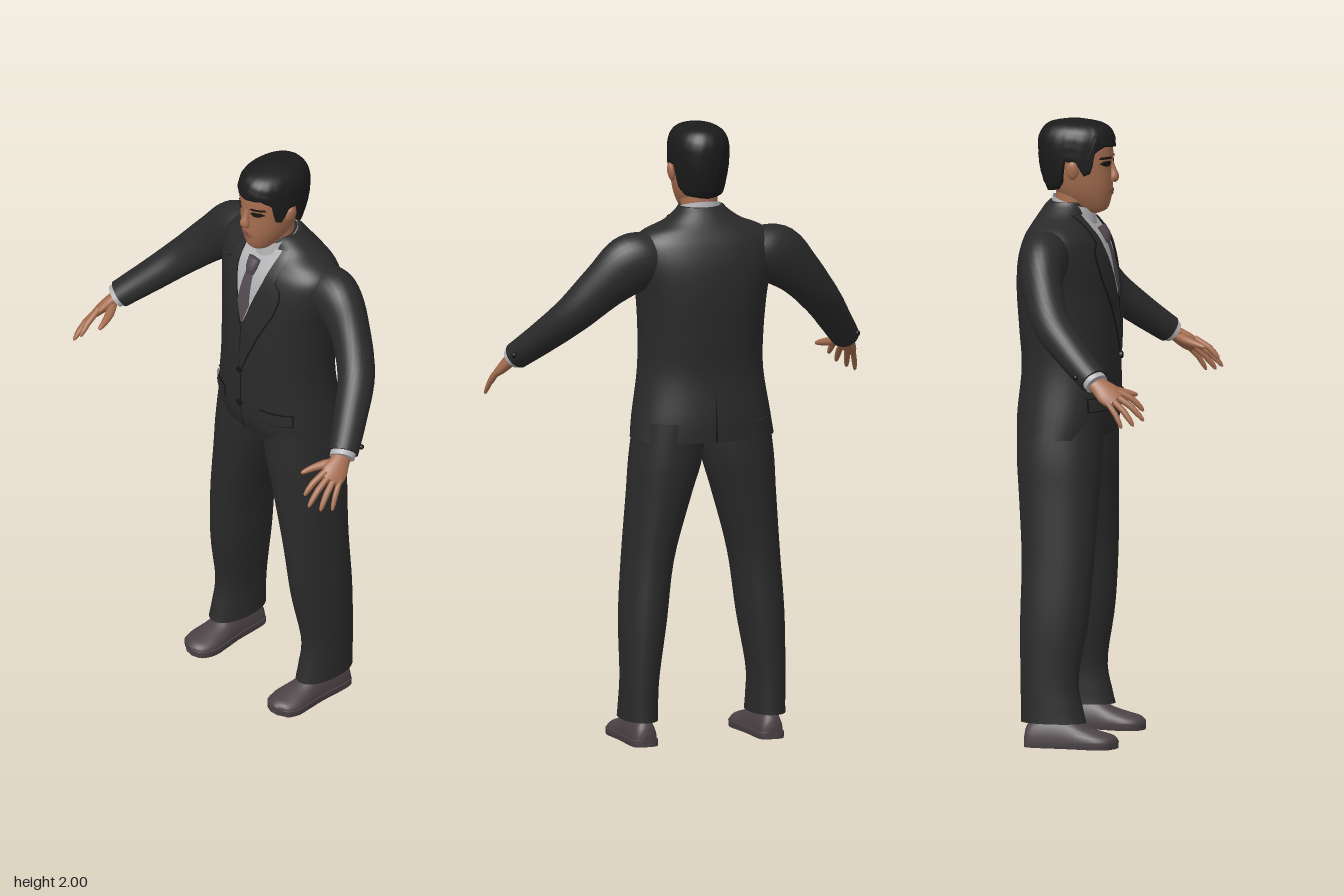
import * as THREE from 'three';

const mat = (name, color) => {
  const m = new THREE.MeshStandardMaterial({ color, side: THREE.DoubleSide });
  m.name = name;
  return m;
};
const V = (x, y, z) => new THREE.Vector3(x, y, z);

// Catmull-Rom resampling of rows of numbers
function resample(rows, n) {
  const out = [], last = rows.length - 1;
  for (let k = 0; k <= n; k++) {
    const f = (k / n) * last, i = Math.min(Math.floor(f), last - 1), t = f - i;
    const [a, b, c, d] = [rows[Math.max(i - 1, 0)], rows[i], rows[i + 1], rows[Math.min(i + 2, last)]];
    out.push(b.map((_, q) => 0.5 * (2 * b[q] + (c[q] - a[q]) * t + (2 * a[q] - 5 * b[q] + 4 * c[q] - d[q]) * t * t
      + (3 * b[q] - a[q] - 3 * c[q] + d[q]) * t ** 3)));
  }
  return out;
}

// Linear lookup in rows sorted by their first number
function lookup(rows, y) {
  let i = 0;
  while (i < rows.length - 2 && rows[i + 1][0] < y) i++;
  const t = THREE.MathUtils.clamp((y - rows[i][0]) / (rows[i + 1][0] - rows[i][0]), 0, 1);
  return rows[i].map((v, q) => v + (rows[i + 1][q] - v) * t);
}

// Skin over a list of closed rings, with separate end caps
function skinRings(rings, caps = true) {
  const pos = [], idx = [], n = rings[0].length;
  rings.forEach(r => r.forEach(p => pos.push(p.x, p.y, p.z)));
  for (let i = 0; i < rings.length - 1; i++) for (let j = 0; j < n; j++) {
    const a = i * n + j, c = i * n + (j + 1) % n;
    idx.push(a, a + n, c, c, a + n, c + n);
  }
  if (caps) [rings[0], rings[rings.length - 1]].forEach((r, end) => {
    const base = pos.length / 3, mid = V(0, 0, 0);
    r.forEach(p => { pos.push(p.x, p.y, p.z); mid.addScaledVector(p, 1 / n); });
    pos.push(mid.x, mid.y, mid.z);
    for (let j = 0; j < n; j++) {
      const a = base + j, b = base + (j + 1) % n;
      idx.push(base + n, end ? b : a, end ? a : b);
    }
  });
  const g = new THREE.BufferGeometry();
  g.setAttribute('position', new THREE.Float32BufferAttribute(pos, 3));
  g.setIndex(idx);
  g.computeVertexNormals();
  return g;
}

const spow = (v, e) => Math.sign(v) * Math.abs(v) ** e;
// Horizontal rings; rows are [y, cx, cz, rx, rz]
const column = (rows, seg = 40, p = 2.2, caps = true) => skinRings(rows.map(([y, cx, cz, rx, rz]) =>
  Array.from({ length: seg }, (_, j) => {
    const t = (j / seg) * Math.PI * 2;
    return V(cx + rx * spow(Math.cos(t), 2 / p), y, cz + rz * spow(Math.sin(t), 2 / p));
  })), caps);

// Rings along a path; rows are [x, y, z, sideRadius, upRadius]
function sweep(rows, { seg = 20, side = null } = {}) {
  const pts = rows.map(r => V(r[0], r[1], r[2]));
  return skinRings(rows.map((r, i) => {
    const T = pts[Math.min(i + 1, pts.length - 1)].clone().sub(pts[Math.max(i - 1, 0)]).normalize();
    const U = side ? side.clone().addScaledVector(T, -side.dot(T)) : T.clone().cross(V(0, 1, 0));
    U.normalize();
    const W = U.clone().cross(T);
    return Array.from({ length: seg }, (_, j) => {
      const t = (j / seg) * Math.PI * 2;
      return pts[i].clone().addScaledVector(U, r[3] * Math.cos(t)).addScaledVector(W, r[4] * Math.sin(t));
    });
  }));
}

// Thin plate laid on a column's front (dir 1) or back (dir -1); edges are [y, x1, x2]
function drape(body, edges, lift, dir = 1, ny = 18, nx = 8) {
  const pos = [], idx = [];
  for (let i = 0; i <= ny; i++) {
    const y = edges[0][0] + (edges[edges.length - 1][0] - edges[0][0]) * i / ny, [, x1, x2] = lookup(edges, y);
    const [, cx, cz, rx, rz] = lookup(body, y);
    for (let j = 0; j <= nx; j++) {
      const x = x1 + (x2 - x1) * j / nx, u = Math.min(Math.abs((x - cx) / rx), 1);
      pos.push(x, y, cz + dir * (rz * (1 - u ** 2.2) ** (1 / 2.2) + lift));
      if (i < ny && j < nx) {
        const a = i * (nx + 1) + j, b = a + nx + 1;
        idx.push(...(dir > 0 ? [a, a + 1, b, a + 1, b + 1, b] : [a, b, a + 1, a + 1, b, b + 1]));
      }
    }
  }
  const g = new THREE.BufferGeometry();
  g.setAttribute('position', new THREE.Float32BufferAttribute(pos, 3));
  g.setIndex(idx);
  g.computeVertexNormals();
  return g;
}

// Copy a geometry to the other side of the body
function mirror(geo) {
  const g = geo.clone().scale(-1, 1, 1), ix = g.index.array;
  for (let i = 0; i < ix.length; i += 3) [ix[i], ix[i + 1]] = [ix[i + 1], ix[i]];
  g.computeVertexNormals();
  return g;
}

export function createModel() {
  const root = new THREE.Group();
  root.name = 'manInSuit';
  const suit = mat('suitCloth', 0x2a2a2a), seam = mat('seamBlack', 0x151515), hairM = mat('hair', 0x1b1b1c);
  const skin = mat('skin', 0xa56d4f), lipM = mat('lips', 0x8a5444), eyeM = mat('eyes', 0x1c1411);
  const shirt = mat('shirt', 0xb2b2b5), tieM = mat('tie', 0x544b50), shoeM = mat('shoeLeather', 0x4b4245);
  const add = (name, geo, m) => {
    const mesh = new THREE.Mesh(geo, m);
    mesh.name = name;
    root.add(mesh);
  };
  const pair = (name, geo, m) => { add(name + 'Left', geo, m); add(name + 'Right', mirror(geo), m); };

  // Jacket body
  const torso = resample([
    [0.99, 0, -0.115, 0.235, 0.15], [1.06, 0, -0.105, 0.225, 0.16], [1.2, 0, -0.097, 0.204, 0.155],
    [1.32, 0, -0.102, 0.203, 0.158], [1.45, 0, -0.11, 0.213, 0.158], [1.55, 0, -0.115, 0.232, 0.147],
    [1.62, 0, -0.117, 0.232, 0.125], [1.66, 0, -0.12, 0.2, 0.1], [1.69, 0, -0.12, 0.13, 0.082],
    [1.72, 0, -0.112, 0.087, 0.07], [1.735, 0, -0.107, 0.073, 0.062]], 50);
  add('jacketBody', column(torso, 48), suit);

  // Shirt front, tie and lapels
  add('shirtFront', drape(torso, [[1.43, 0, 0.004], [1.5, -0.03, 0.03], [1.6, -0.062, 0.062], [1.7, -0.075, 0.075]], 0.004), shirt);
  add('tieBlade', drape(torso, [[1.43, -0.004, 0.006], [1.5, -0.028, 0.028], [1.61, -0.017, 0.017]], 0.009), tieM);
  add('tieKnot', sweep(resample([[0, 1.6, 0.018, 0.014, 0.01], [0, 1.625, 0.014, 0.021, 0.016],
    [0, 1.655, 0, 0.024, 0.014]], 6), { side: V(1, 0, 0) }), tieM);
  const lapel = w => [[1.25, 0, 0.008 + w], [1.4, 0.003, 0.07 + w], [1.5, 0.03, 0.118 + w], [1.56, 0.05, 0.133 + w],
    [1.6, 0.062, 0.125 + w], [1.61, 0.064, 0.105 + w], [1.7, 0.076, 0.1 + w]];
  pair('lapelEdge', drape(torso, lapel(0.004), 0.004, 1, 30), seam);
  pair('lapel', drape(torso, lapel(0), 0.008, 1, 30), suit);
  add('frontOpening', drape(torso, [[0.99, -0.002, 0.002], [1.25, -0.002, 0.002]], 0.003), seam);
  add('backVent', drape(torso, [[0.99, -0.003, 0.003], [1.13, -0.0015, 0.0015]], 0.003, -1), seam);
  pair('pocketSeam', drape(torso, [[1.075, 0.085, 0.185], [1.122, 0.082, 0.185]], 0.003, 1, 4), seam);
  pair('pocketFlap', drape(torso, [[1.08, 0.088, 0.183], [1.118, 0.085, 0.183]], 0.007, 1, 4), suit);
  for (const y of [1.11, 1.24]) {
    const [, , cz, , rz] = lookup(torso, y);
    add('jacketButton', new THREE.CylinderGeometry(0.011, 0.011, 0.008, 16).rotateX(Math.PI / 2).translate(0, y, cz + rz + 0.008), seam);
  }

  // Shirt collar, lower at the front
  const collar = column([[1.67, 0, -0.09, 0.079, 0.075], [1.7, 0, -0.09, 0.074, 0.072], [1.733, 0, -0.09, 0.068, 0.067]], 36, 2, false);
  const cp = collar.attributes.position;
  for (let i = 0; i < cp.count; i++) cp.setY(i, cp.getY(i) - 0.3 * (cp.getZ(i) + 0.09));
  collar.computeVertexNormals();
  add('shirtCollar', collar, shirt);

  // Sleeves, cuffs
  pair('sleeve', sweep(resample([
    [0.13, 1.585, -0.135, 0.06, 0.07], [0.19, 1.578, -0.135, 0.078, 0.085], [0.25, 1.56, -0.135, 0.076, 0.096],
    [0.33, 1.493, -0.118, 0.064, 0.077], [0.42, 1.395, -0.068, 0.06, 0.062], [0.49, 1.312, 0.015, 0.054, 0.052],
    [0.552, 1.24, 0.098, 0.048, 0.044]], 30), { seg: 28 }), suit);
  pair('shirtCuff', sweep([[0.547, 1.246, 0.092, 0.042, 0.037], [0.56, 1.231, 0.11, 0.041, 0.036]]), shirt);
  pair('sleeveButton', new THREE.SphereGeometry(0.009, 10, 8).translate(0.578, 1.252, 0.045), seam);

  // Hands: palm, four fingers and thumb
  const spread = V(0.65, -0.5, -0.57).normalize(), knuckle = V(0.58, 1.185, 0.176);
  pair('palm', sweep(resample([[0.552, 1.238, 0.095, 0.029, 0.022], [0.563, 1.222, 0.122, 0.033, 0.02],
    [0.573, 1.202, 0.15, 0.041, 0.018], [0.581, 1.183, 0.178, 0.038, 0.013]], 10), { side: spread }), skin);
  const tips = [[0.553, 1.148, 0.262], [0.58, 1.12, 0.268], [0.606, 1.106, 0.24], [0.623, 1.1, 0.205]];
  tips.forEach((t, k) => {
    const a = knuckle.clone().addScaledVector(spread, (k - 1.5) * 0.021), b = V(...t);
    const p = f => a.clone().lerp(b, f).add(V(0, 0.01 * Math.sin(Math.max(f, 0) * Math.PI), 0)).toArray();
    const r = k === 3 ? 0.009 : 0.0105;
    pair('finger', sweep([[...p(-0.2), r, r], [...p(0.2), r, r], [...p(0.5), r, r], [...p(0.8), r * 0.85, r * 0.85],
      [...p(0.95), r * 0.6, r * 0.6], [...p(1), r * 0.2, r * 0.2]], { seg: 12 }), skin);
  });
  pair('thumb', sweep(resample([[0.555, 1.22, 0.12, 0.013, 0.013], [0.528, 1.209, 0.158, 0.015, 0.014],
    [0.51, 1.2, 0.195, 0.011, 0.011], [0.501, 1.193, 0.224, 0.007, 0.007], [0.5, 1.191, 0.23, 0.002, 0.002]], 12), { seg: 12 }), skin);

  // Trousers
  pair('trouserLeg', column(resample([
    [0.08, 0.214, -0.108, 0.058, 0.106], [0.12, 0.214, -0.113, 0.057, 0.101], [0.22, 0.212, -0.122, 0.058, 0.094],
    [0.4, 0.198, -0.11, 0.072, 0.11], [0.6, 0.178, -0.102, 0.079, 0.117], [0.8, 0.143, -0.106, 0.099, 0.129],
    [0.92, 0.121, -0.109, 0.113, 0.137], [1.05, 0.105, -0.11, 0.112, 0.138]], 30), 32), suit);

  // Shoes: the same lengthwise rings, flattened for the upper and the sole
  const shoe = (grow, lo, hi) => {
    const g = sweep(resample([
      [0.212, 0.02, -0.203, 0.012, 0.02], [0.212, 0.02, -0.19, 0.036, 0.055], [0.212, 0.02, -0.14, 0.043, 0.08],
      [0.21, 0.02, -0.07, 0.046, 0.078], [0.208, 0.02, -0.01, 0.054, 0.05], [0.207, 0.02, 0.04, 0.059, 0.034],
      [0.208, 0.02, 0.08, 0.045, 0.023], [0.21, 0.02, 0.098, 0.012, 0.01]
    ].map(([x, y, z, a, b]) => [x, y, z, a + grow, b]), 28), { seg: 28 });
    const p = g.attributes.position;
    for (let i = 0; i < p.count; i++) p.setY(i, THREE.MathUtils.clamp(p.getY(i), lo, hi));
    g.computeVertexNormals();
    return g;
  };
  pair('shoeUpper', shoe(0, 0.012, 1), shoeM);
  const sole = shoe(0.004, 0.01, 0.022), sp = sole.attributes.position;
  for (let i = 0; i < sp.count; i++) if (sp.getY(i) < 0.016) sp.setY(i, 0);
  sole.computeVertexNormals();
  pair('shoeSole', sole, shoeM);

  // Neck and head
  add('neck', column([[1.62, 0, -0.095, 0.062, 0.06], [1.72, 0, -0.088, 0.059, 0.06], [1.8, 0, -0.08, 0.06, 0.065]], 32, 2), skin);
  const head = resample([
    [1.698, 0, -0.028, 0.022, 0.022], [1.712, 0, -0.03, 0.04, 0.05], [1.75, 0, -0.05, 0.062, 0.082],
    [1.79, 0, -0.06, 0.075, 0.096], [1.84, 0, -0.068, 0.083, 0.103], [1.88, 0, -0.072, 0.085, 0.109],
    [1.92, 0, -0.076, 0.084, 0.11], [1.95, 0, -0.08, 0.075, 0.099], [1.975, 0, -0.085, 0.052, 0.075],
    [1.988, 0, -0.085, 0.015, 0.02]], 40);
  add('head', column(head, 40), skin);
  add('nose', sweep(resample([[0, 1.872, 0.028, 0.008, 0.008], [0, 1.84, 0.037, 0.01, 0.011],
    [0, 1.815, 0.042, 0.017, 0.016], [0, 1.803, 0.037, 0.014, 0.011]], 10), { side: V(1, 0, 0) }), skin);
  pair('ear', new THREE.SphereGeometry(1, 16, 12).scale(0.011, 0.03, 0.02).rotateZ(-0.15).translate(0.09, 1.842, -0.075), skin);
  pair('eye', drape(head, [[1.852, 0.032, 0.046], [1.862, 0.02, 0.064], [1.87, 0.03, 0.054]], 0.003, 1, 6), eyeM);
  pair('eyebrow', drape(head, [[1.876, 0.018, 0.066], [1.884, 0.026, 0.062]], 0.004, 1, 3), eyeM);
  add('lips', drape(head, [[1.758, -0.014, 0.014], [1.768, -0.029, 0.029], [1.779, -0.01, 0.01]], 0.004, 1, 8), lipM);

  // Hair: a shell whose lower edge follows the hairline round the head
  const shell = resample([
    [1.755, 0, -0.077, 0.072, 0.09], [1.8, 0, -0.072, 0.083, 0.115], [1.85, 0, -0.076, 0.091, 0.124],
    [1.9, 0, -0.08, 0.094, 0.125], [1.94, 0, -0.08, 0.092, 0.123], [1.97, 0, -0.08, 0.079, 0.108],
    [1.988, 0, -0.083, 0.054, 0.08], [2, 0, -0.085, 0.01, 0.015]], 40);
  const hairline = [[0, 1.912], [0.6, 1.918], [0.95, 1.9], [1.1, 1.835], [1.35, 1.822], [1.45, 1.87], [1.75, 1.87],
    [1.9, 1.8], [2.2, 1.775], [3.15, 1.765]];
  const seg = 72, rings = [];
  for (let i = -1; i <= 24; i++) rings.push(Array.from({ length: seg }, (_, j) => {
    const t = (j / seg) * Math.PI * 2, fromFront = Math.acos(Math.sin(t));
    const low = lookup(hairline, fromFront)[1], f = Math.max(i, 0) / 24;
    const y = low + (2 - low) * Math.sin(f * Math.PI / 2);
    const [, , cz, rx, rz] = lookup(shell, y);
    const tuft = 1 + 0.014 * Math.sin(7 * t + y * 130) * Math.sin(11 * t - y * 90) * (1 - f);
    const k = i < 0 ? 0.84 : tuft;
    return V(rx * k * spow(Math.cos(t), 0.92), y, cz + rz * k * spow(Math.sin(t), 0.92));
  }));
  add('hair', skinRings(rings), hairM);
  return root;
}
